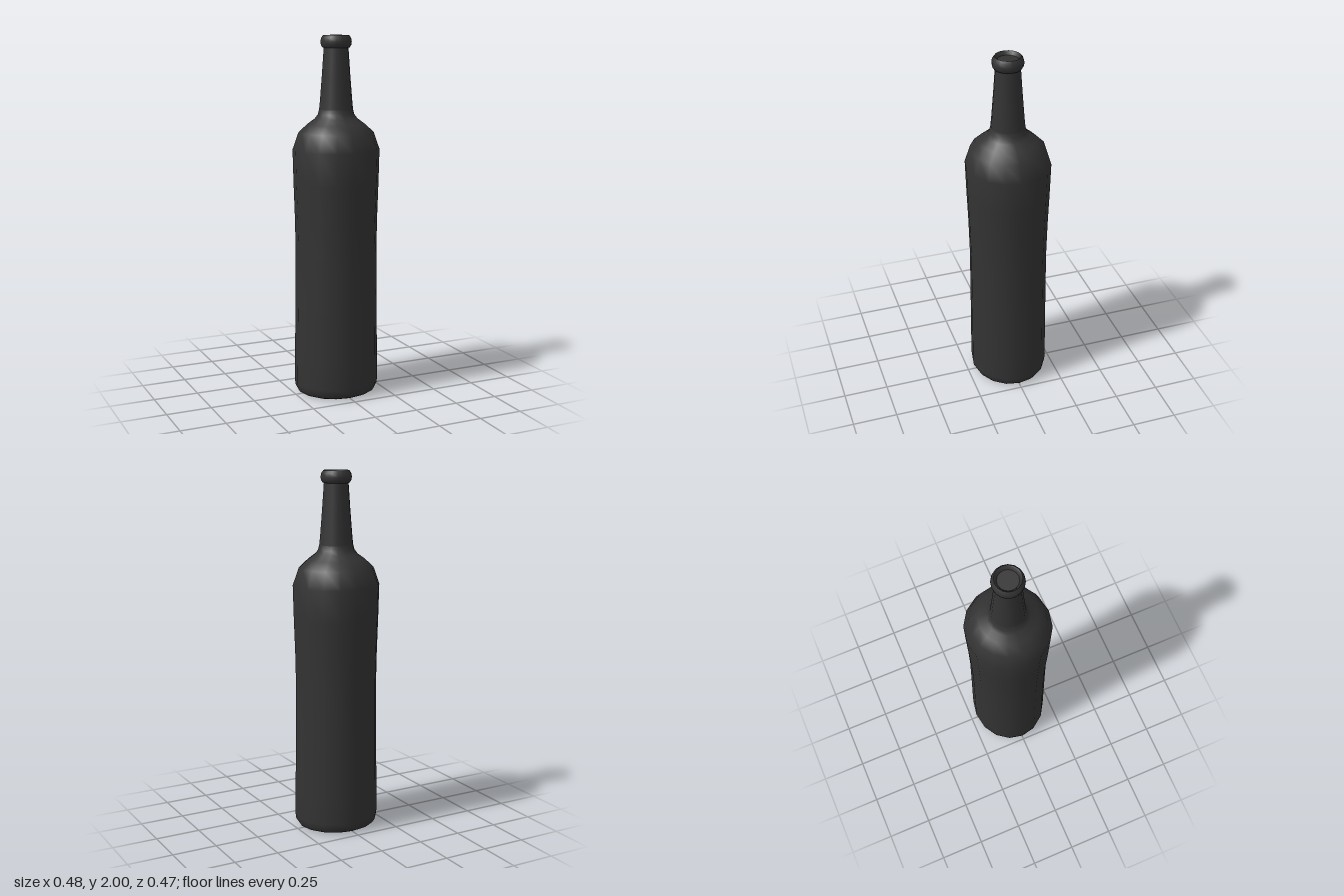
import * as THREE from 'three';

const SIDES = 16;
const glass = new THREE.MeshStandardMaterial({ color: 0x333333 });

// Depth to width ratio: the body is slightly oval, the neck is round
function depthRatio(y) {
  if (y < 1.38) return THREE.MathUtils.mapLinear(y, 0, 1.38, 0.912, 0.967);
  return THREE.MathUtils.lerp(0.967, 1, Math.min((y - 1.38) / 0.22, 1));
}

// Turned part from [radius, height] pairs, flattened by the depth rule
function turned(name, profile) {
  const geometry = new THREE.LatheGeometry(profile.map(([r, y]) => new THREE.Vector2(r, y)), SIDES);
  const p = geometry.attributes.position;
  for (let i = 0; i < p.count; i++) p.setZ(i, p.getZ(i) * depthRatio(p.getY(i)));
  const mesh = new THREE.Mesh(geometry, glass);
  mesh.name = name;
  return mesh;
}

export function createModel() {
  const bottle = new THREE.Group();
  bottle.name = 'bottle';

  bottle.add(
    // Shallow recess under the foot
    turned('baseRecess', [[0, 0.015], [0.18, 0.015]]),
    turned('baseRecessWall', [[0.18, 0.015], [0.185, 0.002], [0.2, 0]]),
    // Rounded foot, slightly waisted body and shoulder
    turned('body', [
      [0.2, 0], [0.222, 0.01], [0.235, 0.03], [0.239, 0.06], [0.237, 0.2], [0.232, 0.5],
      [0.228, 0.8], [0.231, 1.0], [0.237, 1.2], [0.241, 1.38], [0.207, 1.475],
      [0.158, 1.52], [0.117, 1.55], [0.1, 1.573], [0.093, 1.6],
    ]),
    // Tapered neck
    turned('neck', [[0.093, 1.6], [0.088, 1.65], [0.077, 1.79], [0.067, 1.935]]),
    // Rounded lip
    turned('lip', [[0.065, 1.932], [0.074, 1.934], [0.082, 1.947], [0.085, 1.965], [0.081, 1.985], [0.07, 2]]),
    // Recessed mouth
    turned('mouthRim', [[0.07, 2], [0.064, 1.996], [0.055, 1.98]]),
    turned('mouthFloor', [[0.055, 1.98], [0, 1.98]]),
  );
  return bottle;
}
